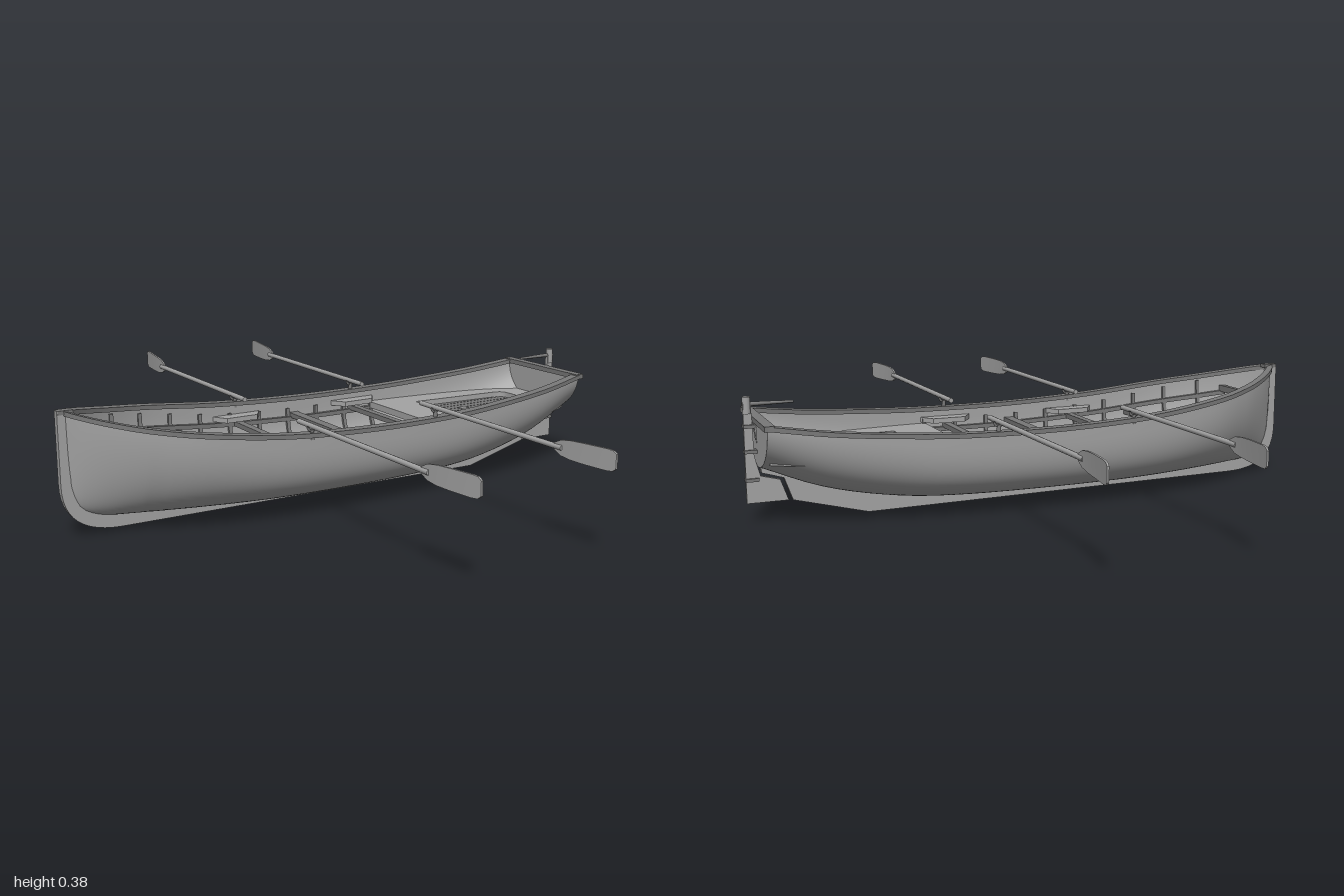
import * as THREE from 'three';
import { toCreasedNormals } from 'three/addons/utils/BufferGeometryUtils.js';

const light = new THREE.MeshStandardMaterial({ color: 0xa3a3a3, side: THREE.DoubleSide });
light.name = 'pale grey wood';
const dark = new THREE.MeshStandardMaterial({ color: 0x787878, side: THREE.DoubleSide });
dark.name = 'dark grey wood';

const V = (x, y, z) => new THREE.Vector3(x, y, z);

// Hull stations: x, half beam, sheer height, bottom height, section fullness
const stations = [
  [-0.9, 0.004, 0.37, 0.15, 1.8], [-0.87, 0.045, 0.362, 0.085, 1.8],
  [-0.8, 0.105, 0.345, 0.055, 1.9], [-0.7, 0.165, 0.325, 0.047, 2.1],
  [-0.55, 0.22, 0.303, 0.045, 2.5], [-0.3, 0.248, 0.275, 0.045, 3.2],
  [0, 0.253, 0.261, 0.045, 3.4], [0.3, 0.247, 0.262, 0.047, 3.2],
  [0.5, 0.232, 0.272, 0.06, 2.8], [0.7, 0.209, 0.288, 0.1, 2.4],
  [0.88, 0.178, 0.312, 0.17, 2],
];
const curve = (i, j) => new THREE.CatmullRomCurve3(
  stations.map((s) => V(s[0], s[i], s[j])), false, 'catmullrom', 0.5);
const beamSheer = curve(1, 2), bottomFull = curve(3, 4);

function station(x) {
  let lo = 0, hi = 1;
  for (let i = 0; i < 30; i++) {
    const mid = (lo + hi) / 2;
    if (beamSheer.getPoint(mid).x < x) lo = mid; else hi = mid;
  }
  const a = beamSheer.getPoint(lo), b = bottomFull.getPoint(lo);
  return { w: a.y, s: a.z, b: b.y, n: b.z };
}

// Point on the hull: a runs from -1 (one sheer) over 0 (keel) to 1 (other sheer)
function hullPoint(x, a, inset = 0) {
  const { w, s, b, n } = station(x), t = Math.abs(a) * Math.PI / 2;
  const z = Math.max(w - inset, 0.001) * Math.pow(Math.sin(t), 2 / n);
  const y = s - (s - b - inset) * Math.pow(Math.max(Math.cos(t), 0), 2 / n);
  return V(x, y, Math.sign(a) * z);
}

// Half width inside the hull at a height
function halfAt(x, y, inset = 0.012) {
  const { w, s, b, n } = station(x);
  const r = Math.min(1, Math.max(0, (s - y) / (s - b - inset)));
  return Math.max(w - inset, 0.001) * Math.pow(1 - Math.pow(r, n), 1 / n);
}

const range = (n, a, b) => Array.from({ length: n + 1 }, (_, i) => a + (b - a) * i / n);

// Surface through rows of points; closed makes a capped tube
function loft(rows, closed = false) {
  if (closed) {
    const centre = (r) => {
      const c = r.reduce((s, p) => s.add(p), V(0, 0, 0)).divideScalar(r.length);
      return r.map(() => c);
    };
    rows = [centre(rows[0]), ...rows, centre(rows[rows.length - 1])];
  }
  const m = rows[0].length, index = [];
  for (let i = 0; i < rows.length - 1; i++) {
    for (let j = 0; j < (closed ? m : m - 1); j++) {
      const k = (j + 1) % m, a = i * m, b = a + m;
      index.push(a + j, b + j, a + k, a + k, b + j, b + k);
    }
  }
  const g = new THREE.BufferGeometry().setFromPoints(rows.flat());
  g.setIndex(index);
  g.computeVertexNormals();
  return closed ? toCreasedNormals(g, 0.6) : g;
}

function add(parent, name, geometry, material, x = 0, y = 0, z = 0) {
  const mesh = new THREE.Mesh(geometry, material);
  mesh.name = name;
  mesh.position.set(x, y, z);
  parent.add(mesh);
  return mesh;
}
const box = (w, h, d) => new THREE.BoxGeometry(w, h, d);
const poly = (pts) => new THREE.Shape(pts.map((p) => new THREE.Vector2(...p)));
const plate = (shape, depth) => new THREE.ExtrudeGeometry(shape,
  { depth, bevelEnabled: false, curveSegments: 12 });

function makeOar(x) {
  const oar = new THREE.Group();
  oar.name = 'oar';
  add(oar, 'oarShaft', new THREE.CylinderGeometry(0.008, 0.008, 0.65, 10).rotateX(Math.PI / 2), light, 0, 0, 0.495);
  // Curved blade
  const rows = [[0.79, 0.01], [0.815, 0.022], [0.85, 0.027], [0.9, 0.029], [0.97, 0.03], [0.99, 0.028], [1, 0.02]]
    .map(([z, h]) => {
      const c = 0.025 * Math.pow((z - 0.79) / 0.21, 1.5);
      return [V(c - 0.003, -h, z), V(c + 0.003, -h, z), V(c + 0.003, h, z), V(c - 0.003, h, z)];
    });
  add(oar, 'oarBlade', loft(rows, true), light);
  // Oarlock
  add(oar, 'oarlockPin', new THREE.CylinderGeometry(0.006, 0.008, 0.03, 8), dark, 0, -0.025, 0.245);
  const fork = add(oar, 'oarlockFork', new THREE.TorusGeometry(0.014, 0.004, 6, 12, Math.PI), dark, 0, 0, 0.245);
  fork.rotation.z = Math.PI;
  oar.position.set(x, 0.295, 0);
  return oar;
}

export function createModel() {
  const boat = new THREE.Group();
  boat.name = 'rowingBoat';

  // Hull skins
  const xs = [...range(12, -0.9, -0.7), ...range(36, -0.7, 0.88).slice(1)], as = range(48, -1, 1);
  add(boat, 'hullOutside', loft(xs.map((x) => as.map((a) => hullPoint(x, a)))), light);
  add(boat, 'hullInside', loft(xs.map((x) => as.map((a) => hullPoint(x, a, 0.012)))), light);
  for (const x of [0.88, 0.865]) {
    add(boat, 'transom', loft(range(20, 0, 1).map((a) => [hullPoint(x, a), hullPoint(x, -a)])), light);
  }

  // Stem, keel and skeg in one outline
  const keel = new THREE.Shape();
  keel.moveTo(-0.92, 0.378);
  keel.lineTo(-0.92, 0.16);
  keel.bezierCurveTo(-0.92, 0.06, -0.86, 0.012, -0.74, 0.011);
  [[0.55, 0], [0.78, 0.06], [0.805, 0.13], [0.87, 0.15], [0.888, 0.31], [0.87, 0.31], [0.865, 0.18],
    [0.7, 0.11], [0.5, 0.068], [0.3, 0.055], [-0.74, 0.055]].forEach((p) => keel.lineTo(...p));
  keel.bezierCurveTo(-0.84, 0.06, -0.89, 0.11, -0.89, 0.17);
  keel.lineTo(-0.885, 0.37);
  add(boat, 'keelAndStem', plate(keel, 0.022), light, 0, 0, -0.011);

  // Gunwales and stern rail
  for (const side of [-1, 1]) {
    const rail = xs.map((x) => {
      const { w, s } = station(x), i = Math.max(w - 0.02, 0), o = w + 0.012;
      return [[s - 0.008, i], [s - 0.008, o], [s + 0.006, o], [s + 0.006, i]].map(([y, z]) => V(x, y, side * z));
    });
    add(boat, 'gunwale', loft(rail, true), dark);
    // Inner riser below the thwarts
    const riser = range(30, -0.78, 0.28).map((x) => {
      const y = station(x).s - 0.075, z = halfAt(x, y);
      return [[y, z], [y, z - 0.012], [y + 0.014, z - 0.012], [y + 0.014, z + 0.002]].map(([h, d]) => V(x, h, side * d));
    });
    add(boat, 'riser', loft(riser, true), dark);
  }
  add(boat, 'sternRail', box(0.03, 0.016, 0.38), dark, 0.875, 0.311, 0);
  add(boat, 'stemHead', box(0.045, 0.012, 0.026), dark, -0.895, 0.372, 0);

  // Ribs
  for (const x of range(9, -0.7, 0.29)) {
    const rib = range(36, -0.97, 0.97).map((a) => {
      const p = [hullPoint(x, a, 0.011), hullPoint(x, a, 0.02)];
      return [[p[0], -1], [p[1], -1], [p[1], 1], [p[0], 1]].map(([q, s]) => V(x + s * 0.006, q.y, q.z));
    });
    add(boat, 'rib', loft(rib, true), dark);
  }

  // Bottom boards, trimmed to the hull
  for (let k = -5; k <= 5; k++) {
    const z = k * 0.027;
    let x0 = -0.62;
    while (halfAt(x0, 0.083) - 0.022 < Math.abs(z) && x0 < 0) x0 += 0.01;
    add(boat, 'bottomBoard', box(0.32 - x0, 0.01, 0.024), dark, (x0 + 0.32) / 2, 0.079, z);
  }

  // Thwarts and bow beam
  for (const [x, w] of [[-0.46, 0.032], [-0.235, 0.024], [-0.015, 0.032], [0.212, 0.024]]) {
    add(boat, 'thwart', box(w, 0.016, 2 * halfAt(x, 0.205)), dark, x, 0.205, 0);
  }
  add(boat, 'bowBeam', box(0.018, 0.022, 2 * halfAt(-0.775, 0.28)), dark, -0.775, 0.285, 0);

  // Stern bench with a rounded well
  const benchY = 0.215, edge = range(16, 0.285, 0.865);
  const bench = poly([...edge.map((x) => [x, halfAt(x, benchY)]),
    ...edge.reverse().map((x) => [x, -halfAt(x, benchY)])]);
  const well = new THREE.Path();
  well.moveTo(0.42, -0.14);
  well.lineTo(0.75, -0.115);
  well.quadraticCurveTo(0.785, -0.11, 0.785, -0.08);
  well.lineTo(0.785, 0.08);
  well.quadraticCurveTo(0.785, 0.11, 0.75, 0.115);
  well.lineTo(0.42, 0.14);
  bench.holes.push(well);
  add(boat, 'sternBench', plate(bench, 0.022).rotateX(Math.PI / 2), light, 0, benchY, 0);
  for (let k = -4; k <= 4; k++) {
    const end = 0.79 - (Math.abs(k) === 4 ? 0.02 : 0);
    add(boat, 'sternSlat', box(end - 0.41, 0.01, 0.028), dark, (end + 0.41) / 2, 0.192, k * 0.031);
  }
  for (const z of [-0.03, 0.03]) {
    add(boat, 'slatPlate', box(0.03, 0.004, 0.024), light, 0.545, 0.199, z);
  }

  // Oars with locks and pads, mirrored
  for (const x of [-0.235, 0.215]) {
    for (const side of [-1, 1]) {
      const oar = makeOar(x);
      oar.scale.z = side;
      boat.add(oar);
      const pad = plate(poly([[-0.085, 0.235], [-0.055, 0.19], [0.055, 0.19], [0.085, 0.235]]), 0.016).rotateX(Math.PI / 2);
      add(boat, 'oarlockPad', pad, light, x, 0.235, 0).scale.z = side;
    }
  }

  // Rudder, fittings and tiller
  const rudder = poly([[0.792, 0.06], [0.915, 0.06], [0.915, 0.36], [0.892, 0.36], [0.888, 0.2], [0.872, 0.14], [0.815, 0.125]]);
  add(boat, 'rudder', plate(rudder, 0.012), light, 0, 0, -0.006);
  add(boat, 'rudderHead', new THREE.CylinderGeometry(0.012, 0.012, 0.05, 12), light, 0.904, 0.352, 0);
  for (const y of [0.13, 0.215, 0.29]) {
    add(boat, 'rudderStrap', box(0.04, 0.01, 0.026), dark, 0.897, y, 0);
  }
  const tiller = new THREE.CylinderGeometry(0.004, 0.007, 0.15, 8).rotateZ(Math.PI / 2);
  add(boat, 'tiller', tiller, dark, 0.842, 0.355, 0);
  return boat;
}
